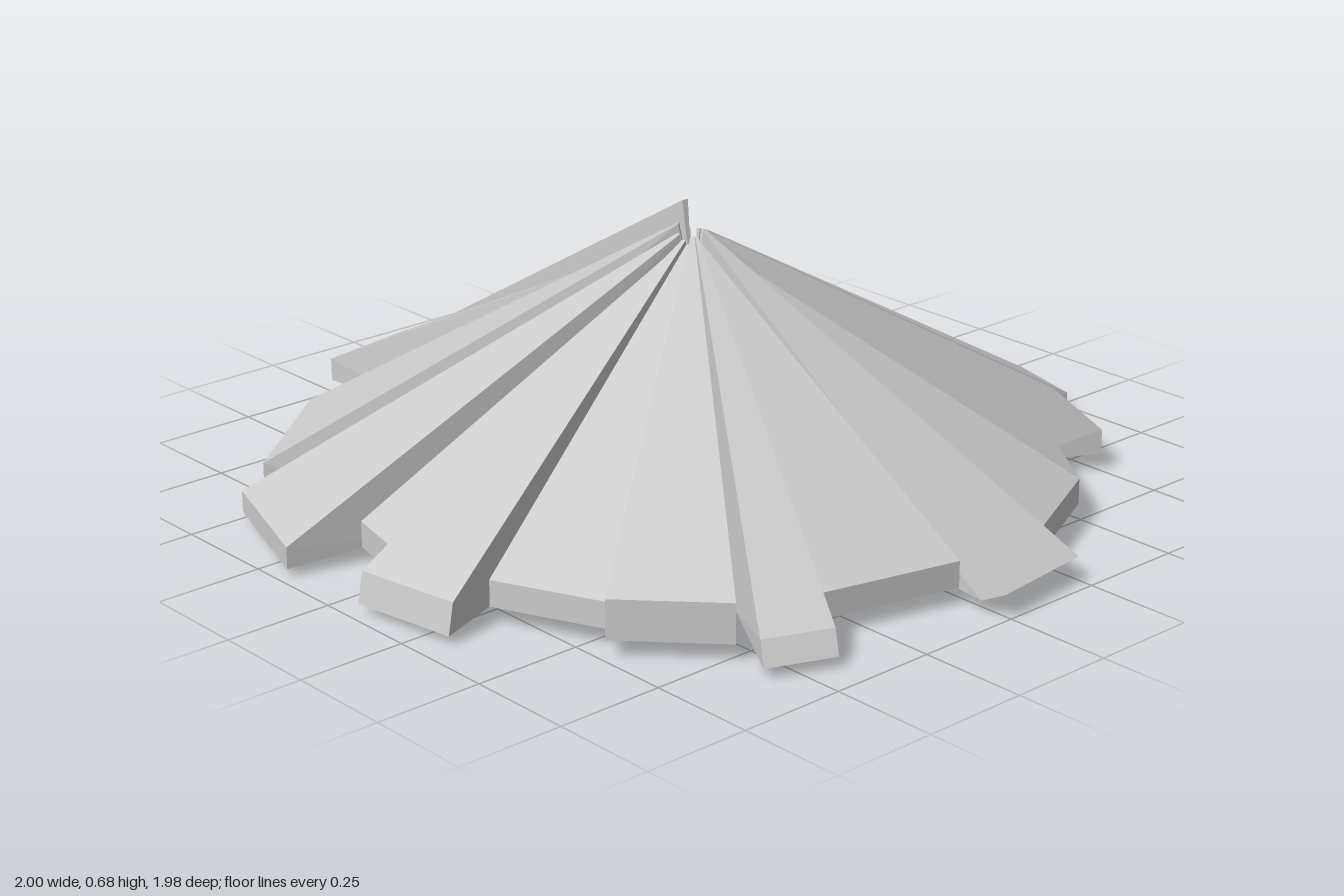
import * as THREE from 'three';
import { ConvexGeometry } from 'three/addons/geometries/ConvexGeometry.js';

const CX = 0.045, CZ = 0.015; // axis of the roof
const RIM_RADIUS = 0.745, RIM_Y = 0.04; // round opening underneath
const HOLLOW_Y = 0.52; // height of the hollow's peak

// Long slabs: outer corners x1, z1, x2, z2, top y, bottom y, then ridge y and inset of the lower edge
const SLABS = [
  [0.12, -1.00, 0.31, -0.95, 0.06, 0.00],
  [0.33, -0.87, 0.59, -0.75, 0.10, 0.04],
  [0.97, -0.24, 1.00, 0.02, 0.06, 0.03, 0.62, 0.06],
  [0.90, 0.41, 0.84, 0.56, 0.075, 0.025, 0.61, -0.03],
  [0.77, 0.56, 0.58, 0.74, 0.13, 0.04],
  [0.32, 0.92, 0.07, 0.96, 0.09, 0.02, 0.60, -0.015],
  [-0.17, 0.98, -0.49, 0.87, 0.07, 0.02],
  [-0.52, 0.79, -0.77, 0.48, 0.105, 0.05, 0.63],
  [-0.96, 0.28, -1.00, 0.03, 0.105, 0.05, 0.59],
  [-0.97, 0.02, -0.93, -0.41, 0.105, 0.05, 0.675],
  [-0.79, -0.35, -0.73, -0.47, 0.10, 0.04],
  [-0.41, -0.69, -0.22, -0.81, 0.11, 0.05],
  [-0.21, -0.88, 0.11, -0.92, 0.09, 0.035],
];

// Short infills between the slabs, outer corners only
const INFILLS = [
  [0.55, -0.63, 0.75, -0.49], [0.75, -0.49, 0.87, -0.24], [0.88, 0.03, 0.80, 0.36],
  [0.55, 0.70, 0.30, 0.81], [0.05, 0.86, -0.12, 0.82], [-0.67, 0.45, -0.74, 0.27],
  [-0.69, -0.45, -0.38, -0.64],
];

const direction = (x, z) => new THREE.Vector2(x - CX, z - CZ).normalize();
const outward = ([x1, z1, x2, z2]) => direction((x1 + x2) / 2, (z1 + z2) / 2);

// Shared boundary direction between one sector and the next
function boundary(a, b) {
  return direction(a[2], a[3]).add(direction(b[0], b[1])).normalize();
}

// Solid sector: sloping top, outer end, flat ring underneath and sloping inner face
function sectorGeometry(corners, start, end) {
  const [x1, z1, x2, z2, top, bottom, ridge = 0.61, inset = 0] = corners;
  const out = outward(corners);
  const points = [];
  for (const [x, z, side] of [[x1, z1, start], [x2, z2, end]]) {
    points.push(
      new THREE.Vector3(x, top, z),
      new THREE.Vector3(x - out.x * inset, bottom, z - out.y * inset),
      new THREE.Vector3(CX + side.x * RIM_RADIUS, RIM_Y, CZ + side.y * RIM_RADIUS),
      new THREE.Vector3(CX + side.x * 0.01, HOLLOW_Y, CZ + side.y * 0.01),
      new THREE.Vector3(CX + (x - CX) * 0.035, ridge, CZ + (z - CZ) * 0.035),
    );
  }
  return new ConvexGeometry(points);
}

export function createModel() {
  const group = new THREE.Group();
  group.name = 'slabRoof';
  const material = new THREE.MeshStandardMaterial({ color: 0xcccccc });

  // All sectors in order round the axis
  const sectors = [
    ...SLABS.map((corners) => ({ name: 'roofSlab', corners })),
    ...INFILLS.map((c) => ({ name: 'roofInfill', corners: [...c, 0.10, 0.04, 0.59] })),
  ].sort((a, b) => outward(a.corners).angle() - outward(b.corners).angle());

  const n = sectors.length;
  sectors.forEach(({ name, corners }, i) => {
    const start = boundary(sectors[(i + n - 1) % n].corners, corners);
    const end = boundary(corners, sectors[(i + 1) % n].corners);
    const mesh = new THREE.Mesh(sectorGeometry(corners, start, end), material);
    mesh.name = `${name}${i + 1}`;
    group.add(mesh);
  });
  return group;
}
